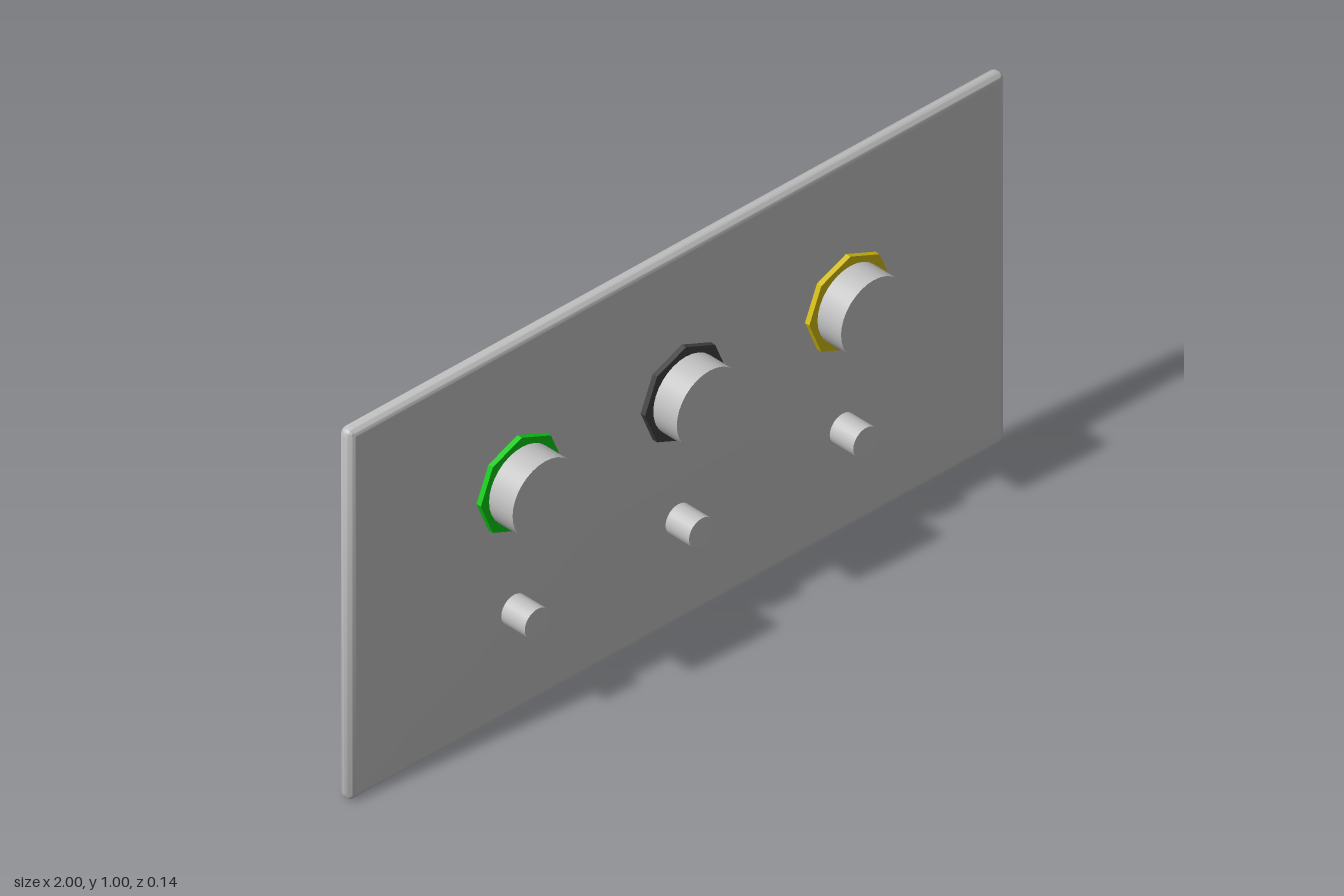
import * as THREE from 'three';
import { toCreasedNormals } from 'three/addons/utils/BufferGeometryUtils.js';

const HALF_W = 1, HALF_H = 0.5, R = 0.02;

// Rounded rectangle, counter-clockwise seen from the front
function ring(inset, z) {
  const pts = [], r = Math.max(R - inset, 0.0005), steps = 6;
  const cx = HALF_W - inset - r, cy = HALF_H - inset - r;
  [[1, 1], [-1, 1], [-1, -1], [1, -1]].forEach(([sx, sy], q) => {
    for (let i = 0; i <= steps; i++) {
      const a = (q + i / steps) * Math.PI / 2;
      pts.push([sx * cx + r * Math.cos(a), HALF_H + sy * cy + r * Math.sin(a), z]);
    }
  });
  return pts;
}

// Plate: round outer rim, flat back frame, S-shaped step into the recess
function plateGeometry() {
  const profile = [], n = 8;
  for (let i = 0; i <= 2 * n; i++) {
    const a = i / n * Math.PI / 2;
    profile.push([R - R * Math.sin(a), -0.05 + R * Math.cos(a)]);
  }
  for (let i = 0; i <= n; i++) {
    const a = i / n * Math.PI / 2;
    profile.push([0.1 + R * Math.sin(a), -0.05 - R * Math.cos(a)]);
  }
  for (let i = 1; i <= n; i++) {
    const a = i / n * Math.PI / 2;
    profile.push([0.14 - R * Math.cos(a), -0.051 + R * Math.sin(a)]);
  }
  const rings = profile.map(([inset, z]) => ring(inset, z));
  const pos = [], m = rings[0].length;
  const tri = (a, b, c) => pos.push(...a, ...b, ...c);
  for (let k = 0; k < rings.length - 1; k++) {
    for (let j = 0; j < m; j++) {
      const j2 = (j + 1) % m, p = rings[k], q = rings[k + 1];
      tri(p[j], q[j], p[j2]);
      tri(p[j2], q[j], q[j2]);
    }
  }
  // Front face and recessed back face
  const first = rings[0], last = rings[rings.length - 1];
  const front = [0, HALF_H, first[0][2]], back = [0, HALF_H, last[0][2]];
  for (let j = 0; j < m; j++) {
    const j2 = (j + 1) % m;
    tri(front, first[j], first[j2]);
    tri(back, last[j2], last[j]);
  }
  const g = new THREE.BufferGeometry();
  g.setAttribute('position', new THREE.Float32BufferAttribute(pos, 3));
  return toCreasedNormals(g, 0.6);
}

// Cylinder lying along z between two depths
function disc(radius, z0, z1, sides) {
  const g = new THREE.CylinderGeometry(radius, radius, z1 - z0, sides);
  g.rotateX(Math.PI / 2);
  g.translate(0, 0, (z0 + z1) / 2);
  return g;
}

export function createModel() {
  const model = new THREE.Group();
  model.name = 'controlPanel';
  const material = (name, color, extra = {}) => {
    const m = new THREE.MeshStandardMaterial({ color, ...extra });
    m.name = name;
    return m;
  };
  const gray = material('panelGray', 0xc0c0c0, { side: THREE.DoubleSide });
  const green = material('green', 0x0cc814);
  const dark = material('darkGray', 0x404040);
  const yellow = material('yellow', 0xd0b90e);

  const add = (name, geometry, mat, x = 0, y = 0, z = 0) => {
    const mesh = new THREE.Mesh(geometry, mat);
    mesh.name = name;
    mesh.position.set(x, y, z);
    model.add(mesh);
  };

  add('plate', plateGeometry(), gray);
  add('labelSheet', new THREE.PlaneGeometry(1.75, 0.45), gray, 0, 0.62, -0.019);

  // Three controls: octagonal collar, round button and small pin
  const collar = disc(0.125, -0.055, -0.005, 8).toNonIndexed();
  collar.computeVertexNormals();
  const button = disc(0.1, -0.03, 0.07, 32);
  const pin = disc(0.039, -0.055, 0.045, 24);
  [['left', 0.5, yellow], ['middle', 0, dark], ['right', -0.5, green]].forEach(([side, x, mat]) => {
    add(side + 'Collar', collar, mat, x, 0.632);
    add(side + 'Button', button, gray, x, 0.632);
    add(side + 'Pin', pin, gray, x, 0.282);
  });
  return model;
}
